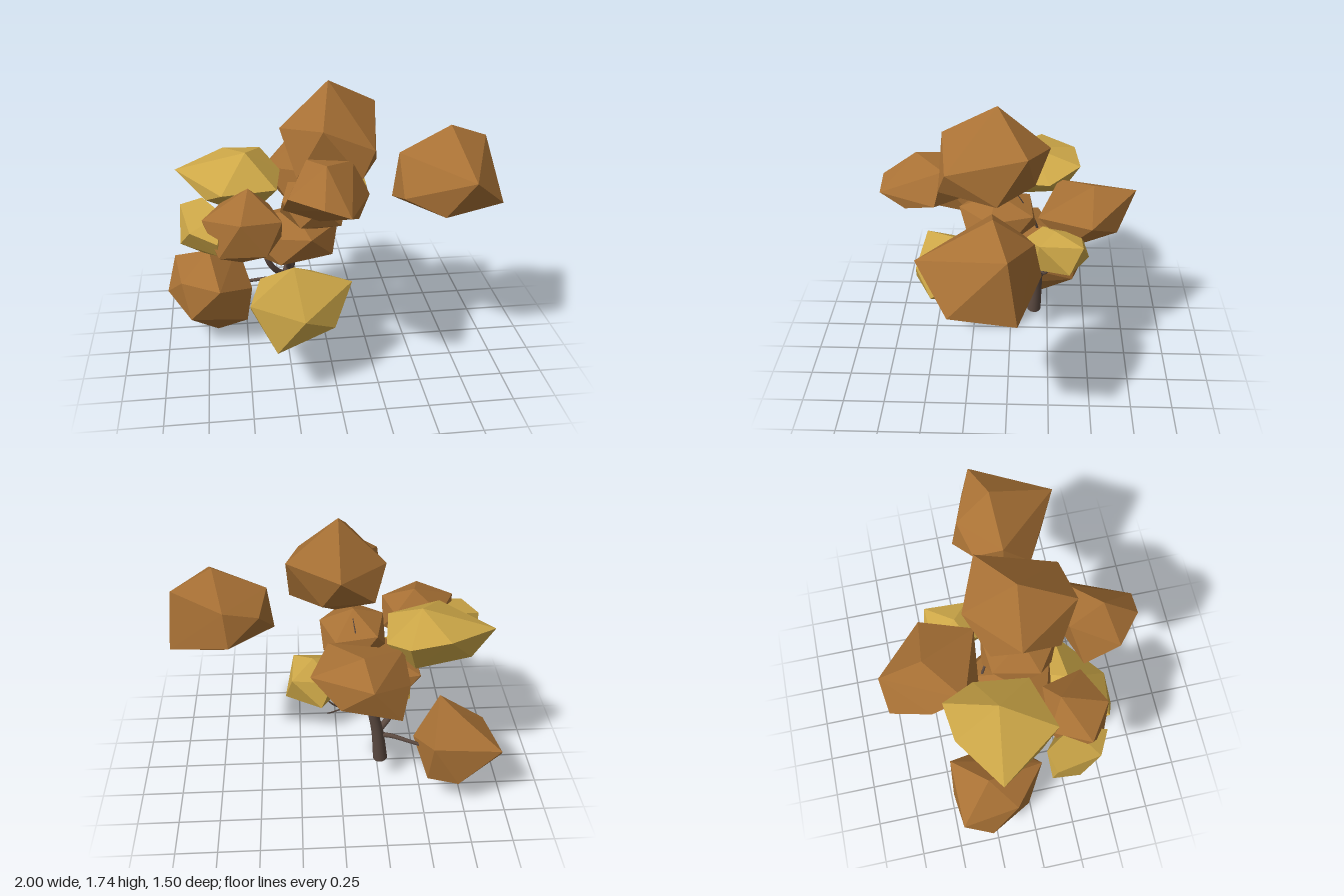
import * as THREE from 'three';
import { ConvexGeometry } from 'three/addons/geometries/ConvexGeometry.js';

const material = (name, color) => {
  const m = new THREE.MeshStandardMaterial({ color, flatShading: name !== 'bark' });
  m.name = name;
  return m;
};

// Seeded random numbers, for slightly uneven clumps
let seed = 7;
const random = () => {
  seed = (seed * 16807) % 2147483647;
  return seed / 2147483647;
};

// Outer leaf clump: the faceted hull around a few corners
const hull = (...corners) => new ConvexGeometry(corners.map((c) => new THREE.Vector3(...c)));

// Inner leaf clump: two rings of five and two tips, fitted to given ranges.
// top and bottom are the [x, z] of the tips, spin turns the upper ring (degrees).
function ringClump([x0, x1], [y0, y1], [z0, z1], top, bottom, spin) {
  const ring = [];
  for (let i = 0; i < 10; i++) {
    const a = THREE.MathUtils.degToRad(spin + i * 36);
    const r = 1 + (random() - 0.5) * 0.14;
    const level = (i % 2 ? -0.42 : 0.42) + (random() - 0.5) * 0.2;
    ring.push(new THREE.Vector3(Math.cos(a) * r, level, Math.sin(a) * r));
  }
  const box = new THREE.Box3().setFromPoints(ring);
  for (const p of ring) {
    p.x = THREE.MathUtils.mapLinear(p.x, box.min.x, box.max.x, x0, x1);
    p.y = THREE.MathUtils.mapLinear(p.y, -1, 1, y0, y1);
    p.z = THREE.MathUtils.mapLinear(p.z, box.min.z, box.max.z, z0, z1);
  }
  ring.push(new THREE.Vector3(top[0], y1, top[1]), new THREE.Vector3(bottom[0], y0, bottom[1]));
  return new ConvexGeometry(ring);
}

// Tapered limb swept along a smooth path
function limbGeometry(path, r0, r1, sides = 8) {
  const curve = new THREE.CatmullRomCurve3(path.map((p) => new THREE.Vector3(...p)));
  const steps = 12;
  const geometry = new THREE.TubeGeometry(curve, steps, 1, sides);
  const pos = geometry.attributes.position;
  const p = new THREE.Vector3();
  for (let i = 0; i <= steps; i++) {
    const centre = curve.getPointAt(i / steps);
    const radius = THREE.MathUtils.lerp(r0, r1, i / steps);
    for (let j = 0; j <= sides; j++) {
      const k = i * (sides + 1) + j;
      p.fromBufferAttribute(pos, k).sub(centre).multiplyScalar(radius).add(centre);
      pos.setXYZ(k, p.x, p.y, p.z);
    }
  }
  return geometry;
}

export function createModel() {
  const model = new THREE.Group();
  model.name = 'autumnTree';
  const brown = material('brown leaves', 0xa87135);
  const yellow = material('yellow leaves', 0xcea848);
  const bark = material('bark', 0x5d4b42);

  const add = (name, mat, geometry) => {
    const mesh = new THREE.Mesh(geometry, mat);
    mesh.name = name;
    model.add(mesh);
  };

  // Outer clumps, corners listed from the top tip down
  add('crownClump', brown, hull(
    [0, 1.74, 0.065], [0.297, 1.56, -0.11], [-0.065, 1.55, 0.385], [-0.275, 1.465, 0.04],
    [0, 1.49, -0.235], [0.225, 1.42, 0.35], [0.285, 1.26, 0.06], [0.15, 1.28, 0.4],
    [0.1, 1.3, -0.15], [-0.2, 1.3, -0.12], [-0.2, 1.25, 0.28], [0.02, 1.15, 0.06]));
  add('farLeftClump', brown, hull(
    [0.72, 1.45, 0.06], [0.955, 1.35, -0.02], [0.415, 1.3, 0.08], [0.66, 1.27, -0.15],
    [0.78, 1.24, 0.455], [0.46, 1.2, -0.09], [0.64, 1.06, -0.19], [0.995, 1.04, 0.28],
    [0.42, 1.08, 0.25], [0.38, 1.03, 0.08], [0.99, 0.99, -0.07], [0.64, 1.0, 0.36], [0.71, 0.89, 0.05]));
  add('lowRightClump', brown, hull(
    [-0.725, 0.567, -0.25], [-0.54, 0.48, -0.46], [-0.95, 0.44, -0.45], [-0.66, 0.45, 0.1],
    [-0.9, 0.42, -0.1], [-0.46, 0.33, -0.15], [-1, 0.27, -0.28], [-0.7, 0.22, -0.48],
    [-0.52, 0.22, -0.42], [-0.85, 0.2, -0.02], [-0.5, 0.19, 0], [-0.69, 0.004, -0.21]));
  add('lowFrontClump', yellow, hull(
    [-0.23, 0.735, 0.35], [-0.49, 0.62, 0.56], [0.11, 0.61, 0.33], [-0.1, 0.58, 0.12],
    [-0.42, 0.6, 0.22], [-0.19, 0.52, 0.61], [-0.01, 0.41, 0.5], [-0.48, 0.37, 0.18],
    [-0.35, 0.35, 0.635], [-0.07, 0.33, 0.2], [-0.28, 0.31, 0.09], [-0.28, 0.21, 0.37]));
  add('highFrontClump', brown, hull(
    [-0.065, 1.42, 0.54], [0.1, 1.38, 0.37], [-0.15, 1.38, 0.33], [-0.275, 1.27, 0.6],
    [-0.1, 1.26, 0.745], [0.04, 1.21, 0.75], [0.185, 1.2, 0.42], [0.1, 1.14, 0.6],
    [-0.29, 1.12, 0.4], [0, 1.16, 0.28], [-0.09, 1.06, 0.44]));
  add('backClump', brown, hull(
    [-0.11, 1.19, -0.5], [-0.145, 1.145, -0.755], [-0.35, 1.1, -0.3], [0.07, 1.07, -0.17],
    [0.18, 1.06, -0.48], [-0.37, 1, -0.5], [-0.3, 0.95, -0.74], [0.02, 0.95, -0.64],
    [0.1, 0.9, -0.35], [-0.2, 0.88, -0.2], [-0.1, 0.8, -0.47]));
  add('wideRightClump', yellow, hull(
    [-0.47, 1.26, -0.13], [-0.6, 1.2, -0.4], [-0.37, 1.18, -0.43], [-0.89, 1.15, -0.19],
    [-0.62, 1.12, 0.18], [-0.26, 1.1, -0.24], [-0.3, 1.1, 0.08], [-0.71, 1.05, 0.06],
    [-0.75, 1, -0.25], [-0.4, 0.97, 0], [-0.42, 0.98, -0.32], [-0.55, 0.9, -0.12]));
  add('smallRightClump', yellow, hull(
    [-0.73, 1.08, 0.085], [-0.855, 1.06, 0.12], [-0.62, 1.05, 0.25], [-0.8, 1, 0.385],
    [-0.65, 0.96, 0.465], [-0.85, 0.9, 0.1], [-0.86, 0.88, 0.26], [-0.6, 0.9, 0.18],
    [-0.65, 0.86, 0.4], [-0.735, 0.81, 0.25]));
  add('backLeftClump', yellow, hull(
    [0.16, 1.037, -0.27], [0.28, 1, -0.43], [0.27, 1, -0.18], [0.03, 0.99, -0.2],
    [0.05, 0.97, -0.42], [0.08, 0.93, -0.09], [0, 0.87, -0.33], [0.32, 0.84, -0.355],
    [0.12, 0.84, -0.475], [0.22, 0.81, -0.15], [0.14, 0.755, -0.33]));

  // Inner clumps: name, x, y and z ranges, top tip, bottom tip, spin
  const clumps = [
    ['frontRightClump', [-0.73, -0.29], [0.76, 1.18], [0.1, 0.49], [-0.47, 0.22], [-0.52, 0.3], 95],
    ['middleClump', [-0.28, 0.11], [0.84, 1.14], [-0.16, 0.3], [-0.09, 0.08], [-0.1, 0.08], 85],
    ['innerClump', [-0.51, 0.07], [0.6, 0.93], [-0.28, 0.25], [-0.2, 0], [-0.2, -0.03], 70],
  ];
  for (const [name, ...shape] of clumps) add(name, brown, ringClump(...shape));

  // Trunk and its cut foot
  add('trunk', bark, limbGeometry([[-0.255, 0.17, -0.157], [-0.23, 0.4, -0.17], [-0.19, 0.6, -0.18],
    [-0.16, 0.85, -0.18]], 0.045, 0.02, 16));
  add('trunkFoot', bark,
    new THREE.CircleGeometry(0.045, 16).rotateX(Math.PI / 2).translate(-0.255, 0.171, -0.157));

  // Branches: path, start radius, end radius
  const branches = [
    [[[-0.245, 0.37, -0.17], [-0.32, 0.37, -0.19], [-0.42, 0.35, -0.22], [-0.5, 0.33, -0.24]], 0.016, 0.01],
    [[[-0.235, 0.4, -0.17], [-0.31, 0.47, -0.12], [-0.36, 0.56, -0.1], [-0.38, 0.7, -0.12]], 0.022, 0.014],
    [[[-0.22, 0.45, -0.17], [-0.23, 0.53, -0.1], [-0.25, 0.6, -0.09], [-0.26, 0.72, -0.07]], 0.02, 0.012],
    [[[-0.2, 0.55, -0.18], [-0.08, 0.6, -0.19], [0.03, 0.65, -0.22], [0.1, 0.74, -0.25]], 0.015, 0.003],
    [[[-0.1, 0.6, -0.19], [-0.02, 0.66, -0.26], [0.06, 0.68, -0.32], [0.09, 0.74, -0.4]], 0.008, 0.002],
    [[[-0.18, 0.62, -0.18], [-0.07, 0.7, -0.2], [0.03, 0.77, -0.2], [0.11, 0.82, -0.22]], 0.012, 0.003],
    [[[-0.18, 0.65, -0.18], [-0.17, 0.74, -0.24], [-0.15, 0.84, -0.32], [-0.13, 0.93, -0.4]], 0.014, 0.006],
    [[[-0.16, 0.82, -0.18], [-0.13, 0.93, -0.15], [-0.1, 1.04, -0.1], [-0.08, 1.15, -0.04]], 0.01, 0.002],
  ];
  for (const [path, r0, r1] of branches) add('branch', bark, limbGeometry(path, r0, r1));

  return model;
}
